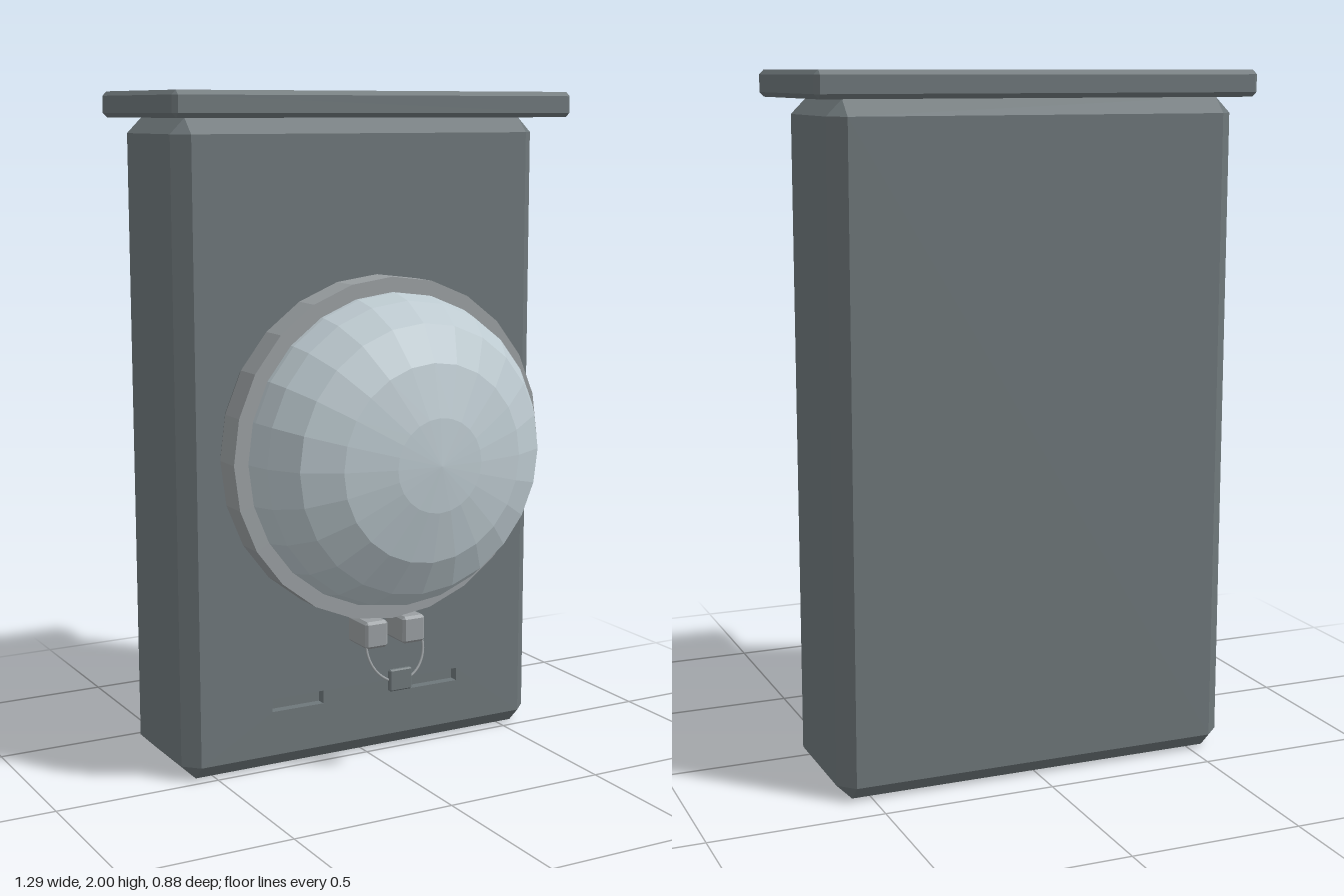
import * as THREE from 'three';
import { ConvexGeometry } from 'three/addons/geometries/ConvexGeometry.js';

const mat = (name, color) => {
  const m = new THREE.MeshStandardMaterial({ color });
  m.name = name;
  return m;
};

// Box with every edge cut at 45 degrees
function chamferBox(w, h, d, c) {
  const pts = [];
  for (const x of [-1, 1]) for (const y of [-1, 1]) for (const z of [-1, 1]) {
    for (let axis = 0; axis < 3; axis++) {
      const cut = [c, c, c];
      cut[axis] = 0;
      pts.push(new THREE.Vector3(x * (w / 2 - cut[0]), y * (h / 2 - cut[1]), z * (d / 2 - cut[2])));
    }
  }
  return new ConvexGeometry(pts);
}

// Remove the faces that look straight forward
function openFront(geo) {
  const p = geo.attributes.position.array, n = geo.attributes.normal.array;
  const keep = [];
  for (let i = 0; i < p.length; i += 9) {
    if (n[i + 2] < 0.99) keep.push(...p.slice(i, i + 9));
  }
  const out = new THREE.BufferGeometry();
  out.setAttribute('position', new THREE.Float32BufferAttribute(keep, 3));
  out.computeVertexNormals();
  return out;
}

// Faceted turned part whose axis points forward
function turned(profile) {
  const geo = new THREE.LatheGeometry(profile.map(([r, z]) => new THREE.Vector2(r, z)), 24)
    .rotateX(Math.PI / 2).toNonIndexed();
  geo.computeVertexNormals();
  return geo;
}

function rect(path, x, y, w, h) {
  path.moveTo(x, y);
  path.lineTo(x + w, y);
  path.lineTo(x + w, y + h);
  path.lineTo(x, y + h);
  path.closePath();
  return path;
}

export function createModel() {
  const model = new THREE.Group();
  model.name = 'meterBox';
  const steel = mat('darkGreySteel', 0x6e777a);
  const rim = mat('lightGreyMetal', 0x9a9fa2);
  const glass = mat('paleGlass', 0xbdcad0);

  const add = (name, geo, material, x = 0, y = 0, z = 0) => {
    const mesh = new THREE.Mesh(geo, material);
    mesh.name = name;
    mesh.position.set(x, y, z);
    model.add(mesh);
    return mesh;
  };

  // Cabinet shell, with a separate front panel holding two recessed slots
  const H = 1.925, D = 0.41, C = 0.045;
  add('cabinet', openFront(chamferBox(1.195, H, D, C)), steel, 0, H / 2, -D / 2);
  const panel = rect(new THREE.Shape(), -0.5975 + C, C, 1.195 - 2 * C, H - 2 * C);
  for (const x of [-0.32, 0.15]) panel.holes.push(rect(new THREE.Path(), x, 0.18, 0.17, 0.04));
  add('frontPanel', new THREE.ExtrudeGeometry(panel, { depth: 0.03, bevelEnabled: false }), steel, 0, 0, -0.03);
  for (const x of [-0.235, 0.235]) add('slotFloor', new THREE.PlaneGeometry(0.19, 0.06), steel, x, 0.2, -0.029);

  // Overhanging lid
  add('lid', chamferBox(1.295, 0.075, 0.545, 0.013), steel, 0, 1.9625, -0.1675);

  // Dome with its collar and clamping ring
  add('collar', turned([[0.478, -0.01], [0.478, 0.07]]), steel, 0, 0.97, 0);
  add('ring', turned([[0.46, 0.06], [0.506, 0.06], [0.506, 0.153], [0.44, 0.153]]), rim, 0, 0.97, 0);
  add('dome', turned([[0.462, 0.1], [0.462, 0.17], [0.445, 0.24], [0.39, 0.33],
    [0.285, 0.39], [0.135, 0.425], [0, 0.435]]), glass, 0, 0.97, 0);

  // Seal: two clips, a wire loop and a hanging tag
  for (const s of [-1, 1]) add('sealClip', chamferBox(0.075, 0.082, 0.115, 0.008), rim, s * 0.063, 0.427, 0.122);
  const loop = [];
  for (let i = 0; i <= 12; i++) {
    const a = Math.PI * i / 12;
    const drop = Math.sin(a);
    loop.push(new THREE.Vector3(-Math.cos(a) * 0.095, 0.385 - 0.1 * drop, 0.172 + 0.03 * drop));
  }
  loop.unshift(new THREE.Vector3(-0.088, 0.41, 0.165));
  loop.push(new THREE.Vector3(0.088, 0.41, 0.165));
  add('sealWire', new THREE.TubeGeometry(new THREE.CatmullRomCurve3(loop), 32, 0.004, 5), rim);
  add('sealTag', chamferBox(0.075, 0.066, 0.016, 0.004), steel, 0, 0.291, 0.203);

  return model;
}
